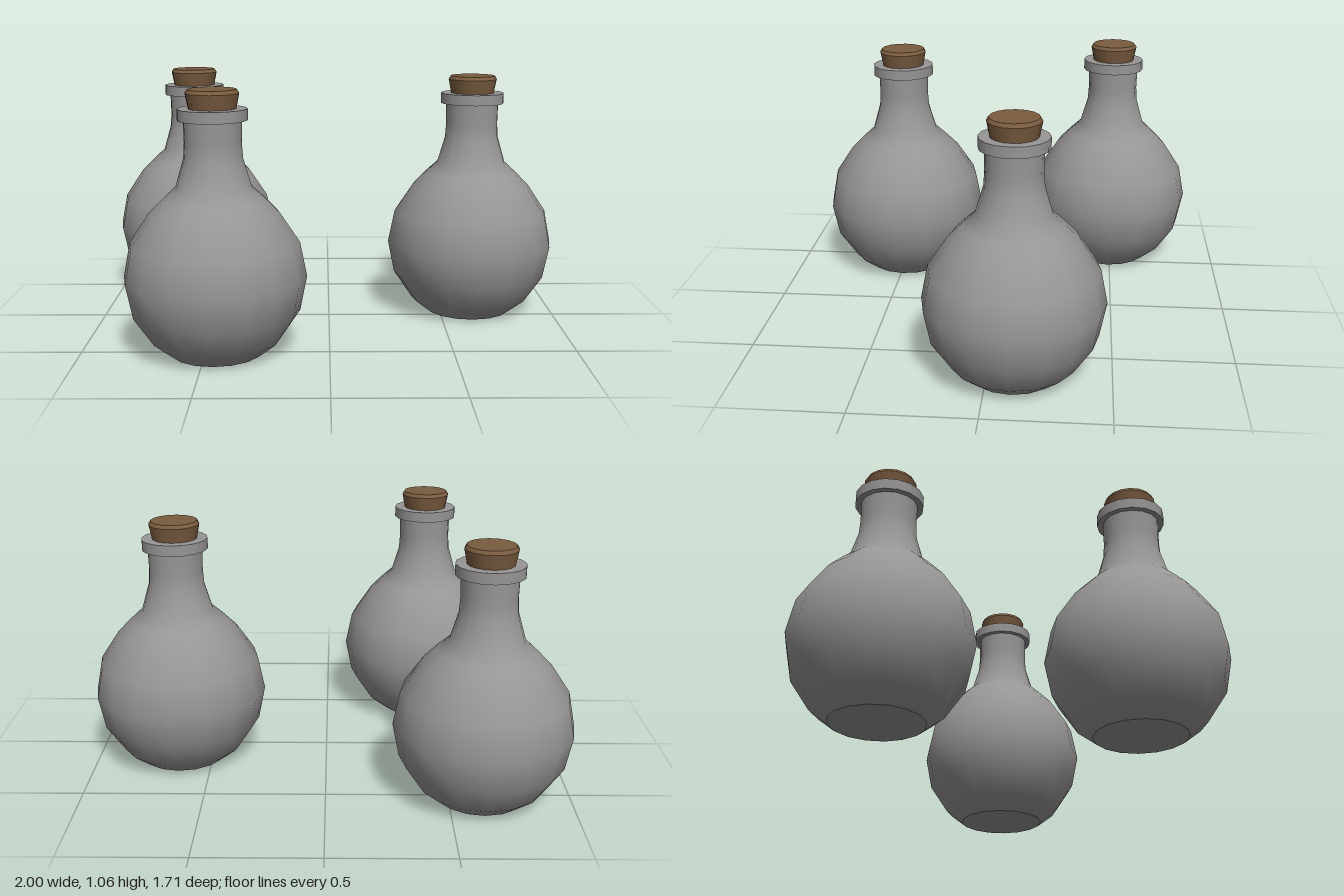
import * as THREE from 'three';

const SIDES = 16;

export function createModel() {
  const glass = new THREE.MeshStandardMaterial({ color: 0x989595 });
  glass.name = 'grey glass';
  const corkBrown = new THREE.MeshStandardMaterial({ color: 0x7a5c40 });
  corkBrown.name = 'cork brown';

  // Round belly: a sphere of radius R cut flat at the ground
  const R = 0.365, centreY = 0.315;
  const profile = [new THREE.Vector2(0.185, 0)];
  for (const deg of [-45, -22.5, 0, 22.5, 45]) {
    const a = THREE.MathUtils.degToRad(deg);
    profile.push(new THREE.Vector2(R * Math.cos(a), centreY + R * Math.sin(a)));
  }
  // Shoulder running up into the neck
  for (const [r, y] of [[0.2, 0.632], [0.15, 0.678], [0.117, 0.79], [0.113, 0.85], [0.115, 0.945]]) {
    profile.push(new THREE.Vector2(r, y));
  }
  const flaskGeo = new THREE.LatheGeometry(profile, SIDES);
  const baseGeo = new THREE.CircleGeometry(0.185, SIDES).rotateX(Math.PI / 2);

  // Capped cylinder from y0 to y1
  const drum = (rBottom, rTop, y0, y1) =>
    new THREE.CylinderGeometry(rTop, rBottom, y1 - y0, SIDES).translate(0, (y0 + y1) / 2, 0);
  const lipGeo = drum(0.138, 0.138, 0.94, 0.985);
  const corkGeo = drum(0.091, 0.106, 0.97, 1.045);
  const corkTopGeo = drum(0.106, 0.097, 1.045, 1.06);

  function createBottle(name, x, z) {
    const bottle = new THREE.Group();
    bottle.name = name;
    const add = (part, geo, mat) => {
      const mesh = new THREE.Mesh(geo, mat);
      mesh.name = part;
      bottle.add(mesh);
    };
    add('flask', flaskGeo, glass);
    add('base', baseGeo, glass);
    add('lip', lipGeo, glass);
    add('cork', corkGeo, corkBrown);
    add('corkTop', corkTopGeo, corkBrown);
    bottle.position.set(x, 0, z);
    return bottle;
  }

  const model = new THREE.Group();
  model.name = 'corkedBottles';
  model.add(
    createBottle('backBottle', -0.635, -0.49),
    createBottle('leftBottle', 0.633, -0.105),
    createBottle('frontBottle', -0.455, 0.49),
  );
  return model;
}
